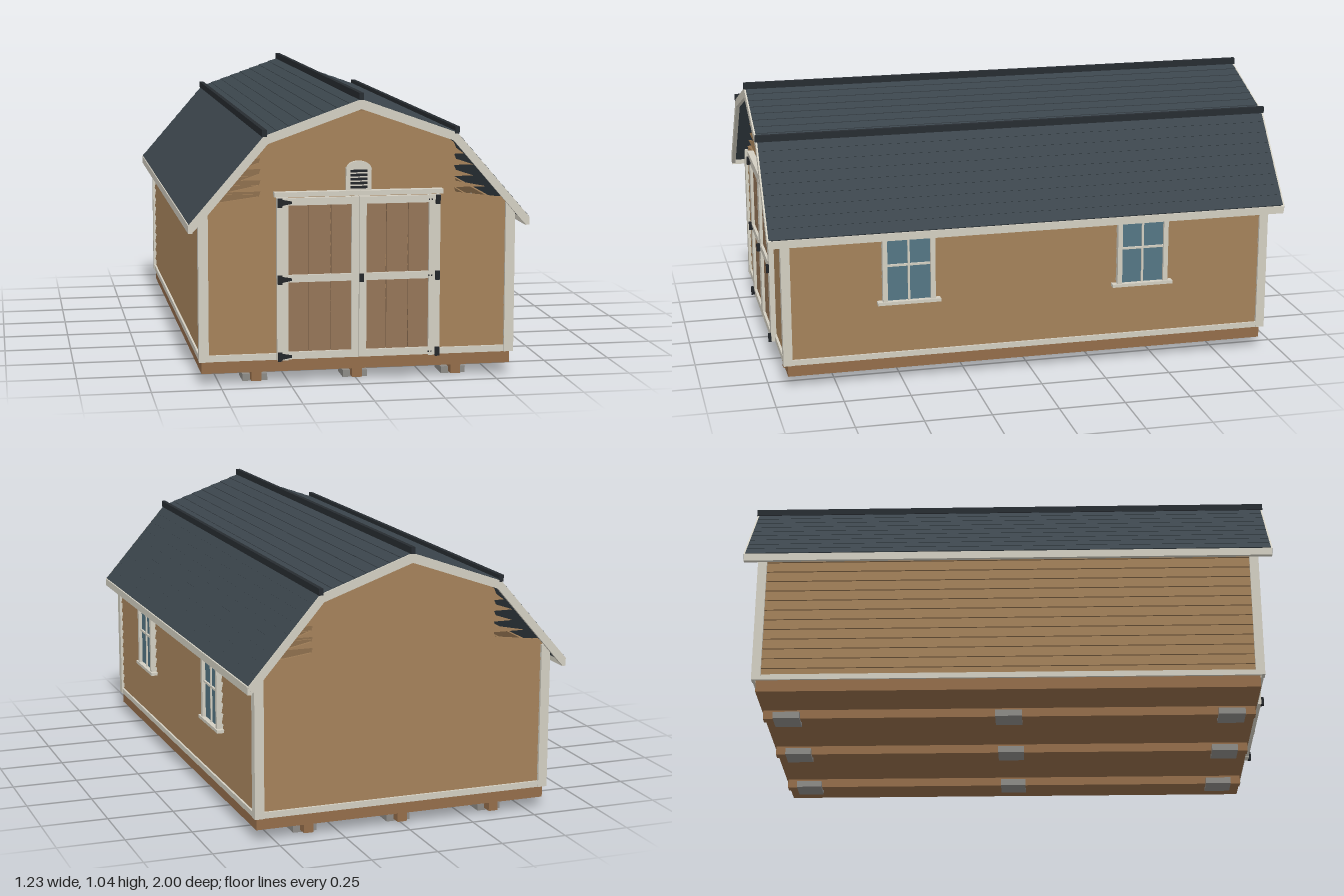
import * as THREE from 'three';

const mat = (name, color) => Object.assign(new THREE.MeshStandardMaterial({ color }), { name });

export function createModel() {
  const siding = mat('siding brown', 0x9b7a55);
  const doorBrown = mat('door brown', 0x957558);
  const timber = mat('timber brown', 0x946d4a);
  const trim = mat('trim off-white', 0xd3cfc2);
  const roofMat = mat('roof slate', 0x3b454c);
  const capMat = mat('ridge cap charcoal', 0x272c31);
  const iron = mat('iron black', 0x222529);
  const glass = mat('window glass', 0x547684);
  const concrete = mat('concrete grey', 0x8d8b87);

  const root = new THREE.Group();
  root.name = 'barnShed';
  const group = (name, parent = root) => {
    const g = new THREE.Group();
    g.name = name;
    parent.add(g);
    return g;
  };
  const add = (parent, name, geo, material) => {
    const m = new THREE.Mesh(geo, material);
    m.name = name;
    parent.add(m);
    return m;
  };
  // Box given by its min and max on each axis
  const box = (parent, name, material, x0, x1, y0, y1, z0, z1) => {
    const m = add(parent, name, new THREE.BoxGeometry(x1 - x0, y1 - y0, z1 - z0), material);
    m.position.set((x0 + x1) / 2, (y0 + y1) / 2, (z0 + z1) / 2);
    return m;
  };
  const extrude = (pts, depth) => new THREE.ExtrudeGeometry(
    new THREE.Shape(pts.map(p => new THREE.Vector2(p[0], p[1]))), { depth, bevelEnabled: false });
  const mirrored = half => [...half, ...half.slice().reverse().map(([x, y]) => [-x, y])];

  // Foundation: floor slab, skids and concrete blocks
  const base = group('foundation');
  box(base, 'floor', timber, -0.565, 0.565, 0.042, 0.087, -0.93, 0.93);
  for (const x of [-0.367, 0, 0.365]) {
    box(base, 'skid', timber, x - 0.018, x + 0.018, 0.008, 0.043, -0.925, 0.925);
    for (const z of [-0.835, 0, 0.835])
      box(base, 'footingBlock', concrete, x - 0.045, x + 0.045, 0, 0.025, z - 0.05, z + 0.05);
  }

  // Lap siding: each board leans out toward its lower edge
  const PITCH = 0.04, START = 0.095;
  const board = (parent, half, y0, h = PITCH) => {
    const geo = extrude(mirrored(half), 0.01);
    const p = geo.attributes.position;
    for (let i = 0; i < p.count; i++)
      p.setZ(i, p.getZ(i) + 0.008 * (1 - (p.getY(i) - y0) / h));
    geo.computeVertexNormals();
    add(parent, 'sidingBoard', geo, siding);
  };
  const straightWall = (parent, w, rows) => {
    for (let i = 0; i < rows; i++) {
      const y = START + i * PITCH;
      board(parent, [[w, y], [w, y + PITCH]], y);
    }
  };
  const spikes = [0.525, 0.465, 0.42, 0.42, 0.385];
  for (const s of [1, -1]) {
    const end = group(s > 0 ? 'frontWall' : 'backWall');
    straightWall(end, 0.555, 14);
    // Pointed board ends under the lower roof slope
    spikes.forEach((w, i) => {
      const y = START + (14 + i) * PITCH;
      board(end, [[w, y], [0.357, y + 0.021], [0.35, y + PITCH]], y);
    });
    // Boards following the upper roof slope
    const limit = y => Math.min(0.35, (0.998 - y) / 0.345);
    for (let i = 0; i < 3; i++) {
      const y = START + (19 + i) * PITCH;
      board(end, [[limit(y), y], [limit(y + PITCH), y + PITCH]], y);
    }
    end.position.z = s * 0.92;
    if (s < 0) end.rotation.y = Math.PI;

    const side = group(s > 0 ? 'leftWall' : 'rightWall');
    straightWall(side, 0.925, 13);
    side.position.x = s * 0.55;
    side.rotation.y = s * Math.PI / 2;
  }

  // Corner and base trim
  const trims = group('wallTrim');
  for (const sx of [1, -1]) {
    for (const sz of [1, -1]) {
      const endPost = box(trims, 'cornerTrimEnd', trim, -0.0175, 0.0175, 0.087, 0.635, -0.006, 0.006);
      endPost.position.x = sx * 0.5575;
      endPost.position.z = sz * 0.941;
      const sidePost = box(trims, 'cornerTrimSide', trim, -0.006, 0.006, 0.087, 0.6, -0.014, 0.014);
      sidePost.position.x = sx * 0.569;
      sidePost.position.z = sz * 0.927;
    }
    const skirt = box(trims, 'baseTrimSide', trim, -0.006, 0.006, 0.087, 0.108, -0.92, 0.92);
    skirt.position.x = sx * 0.567;
    const endSkirt = box(trims, 'baseTrimEnd', trim, -0.545, 0.545, 0.087, 0.11, -0.006, 0.006);
    endSkirt.position.z = sx * 0.938;
  }

  // Gambrel roof with shallow shingle courses
  const roof = group('roof');
  const eave = [0.612, 0.592], knee = [0.345, 0.9], ridge = [0, 1.022];
  const courses = (a, b, n, lift) => {
    const len = Math.hypot(b[0] - a[0], b[1] - a[1]);
    const nx = (b[1] - a[1]) / len, ny = -(b[0] - a[0]) / len;
    const out = [];
    for (let i = 0; i < n; i++) {
      const at = t => [a[0] + (b[0] - a[0]) * t, a[1] + (b[1] - a[1]) * t];
      const p = at(i / n), q = at((i + 1) / n);
      out.push([p[0] + nx * lift, p[1] + ny * lift], q);
    }
    return out;
  };
  const top = [eave, ...courses(eave, knee, 9, 0.0015), ...courses(knee, ridge, 8, 0.0025)];
  const under = [[0, 1.0], [0.338, 0.88], [0.598, 0.58]];
  for (const s of [1, -1]) {
    const pts = [...top, ...under].map(([x, y]) => [s * x, y]);
    add(roof, 'roofSlope', extrude(pts, 1.984), roofMat).position.z = -0.992;
  }
  // Rake boards at both gables
  const rakeHalf = [[0.615, 0.588], [0.346, 0.898], [0, 1.022]];
  const rakeUnder = [[0, 0.987], [0.333, 0.87], [0.584, 0.58], [0.598, 0.565]];
  for (const z of [0.983, -0.998])
    for (const s of [1, -1])
      add(roof, 'rakeBoard', extrude([...rakeHalf, ...rakeUnder].map(([x, y]) => [s * x, y]), 0.015), trim)
        .position.z = z;
  // Eave fascia and cap strips
  for (const s of [1, -1])
    box(roof, 'eaveFascia', trim, -0.0075, 0.0075, 0.56, 0.589, -0.995, 0.995).position.x = s * 0.607;
  for (const [x, y] of [[0, 1.019], [0.345, 0.895], [-0.345, 0.895]])
    box(roof, 'capStrip', capMat, x - 0.008, x + 0.008, y, y + 0.025, -1, 1);

  // Double door
  const door = group('doubleDoor');
  const Z = 0.938;
  for (const s of [1, -1]) {
    const leaf = group(s > 0 ? 'leftDoorLeaf' : 'rightDoorLeaf', door);
    const bar = (name, material, a, b, y0, y1, z0, z1) =>
      box(leaf, name, material, Math.min(s * a, s * b), Math.max(s * a, s * b), y0, y1, z0, z1);
    for (let i = 0; i < 3; i++)
      bar('doorPlank', doorBrown, 0.022 + i * 0.08, 0.099 + i * 0.08, 0.095, 0.665, Z - 0.005, Z + 0.009);
    bar('outerStile', trim, 0.255, 0.296, 0.087, 0.672, Z, Z + 0.02);
    bar('innerStile', trim, 0.001, 0.027, 0.09, 0.672, Z, Z + 0.02);
    for (const y of [0.09, 0.369, 0.645])
      bar('doorRail', trim, 0.027, 0.255, y, y + 0.026, Z, Z + 0.019);
    // Hinges: plate on the jamb and a tapered strap
    for (const y of [0.101, 0.38, 0.656]) {
      bar('hingePlate', iron, 0.278, 0.294, y - 0.016, y + 0.016, Z + 0.018, Z + 0.03);
      if (s < 0) {
        const strap = [[-0.28, y - 0.011], [-0.243, y - 0.004], [-0.243, y + 0.004], [-0.28, y + 0.011]];
        add(leaf, 'hingeStrap', extrude(strap, 0.005), iron).position.z = Z + 0.0195;
      } else {
        for (const x of [0.255, 0.265])
          box(leaf, 'hingeBolt', iron, x - 0.002, x + 0.002, y - 0.002, y + 0.002, Z + 0.018, Z + 0.023);
      }
    }
  }
  box(door, 'doorHeader', trim, -0.305, 0.305, 0.676, 0.693, Z - 0.01, Z + 0.024);
  box(door, 'doorHandle', iron, 0.001, 0.016, 0.365, 0.394, Z + 0.018, Z + 0.034);

  // Arched louvre vent
  const vent = group('gableVent');
  const arch = new THREE.Shape();
  arch.moveTo(-0.046, 0.693);
  arch.lineTo(0.046, 0.693);
  arch.lineTo(0.046, 0.77);
  arch.quadraticCurveTo(0.04, 0.796, 0, 0.798);
  arch.quadraticCurveTo(-0.04, 0.796, -0.046, 0.77);
  add(vent, 'ventFrame', new THREE.ExtrudeGeometry(arch, { depth: 0.02, bevelEnabled: false }), trim)
    .position.z = 0.93;
  for (let i = 0; i < 5; i++)
    box(vent, 'ventSlot', iron, -0.03, 0.03, 0.7 + i * 0.0145, 0.709 + i * 0.0145, 0.948, 0.952);

  // Side windows
  for (const z of [0.47, -0.44]) {
    const win = group('window');
    const part = (name, material, x, z0, z1, y0, y1) =>
      box(win, name, material, 0.555, x, y0, y1, z + z0, z + z1);
    part('windowGlass', glass, 0.574, -0.085, 0.085, 0.315, 0.565);
    for (const s of [-1, 1])
      part('windowJamb', trim, 0.587, s * 0.091 - 0.009, s * 0.091 + 0.009, 0.31, 0.588);
    part('windowHead', trim, 0.588, -0.105, 0.105, 0.56, 0.597);
    part('windowSill', trim, 0.592, -0.12, 0.12, 0.302, 0.314);
    part('windowMuntin', trim, 0.58, -0.004, 0.004, 0.314, 0.56);
    part('windowCrossbar', trim, 0.581, -0.083, 0.083, 0.449, 0.457);
  }

  return root;
}
